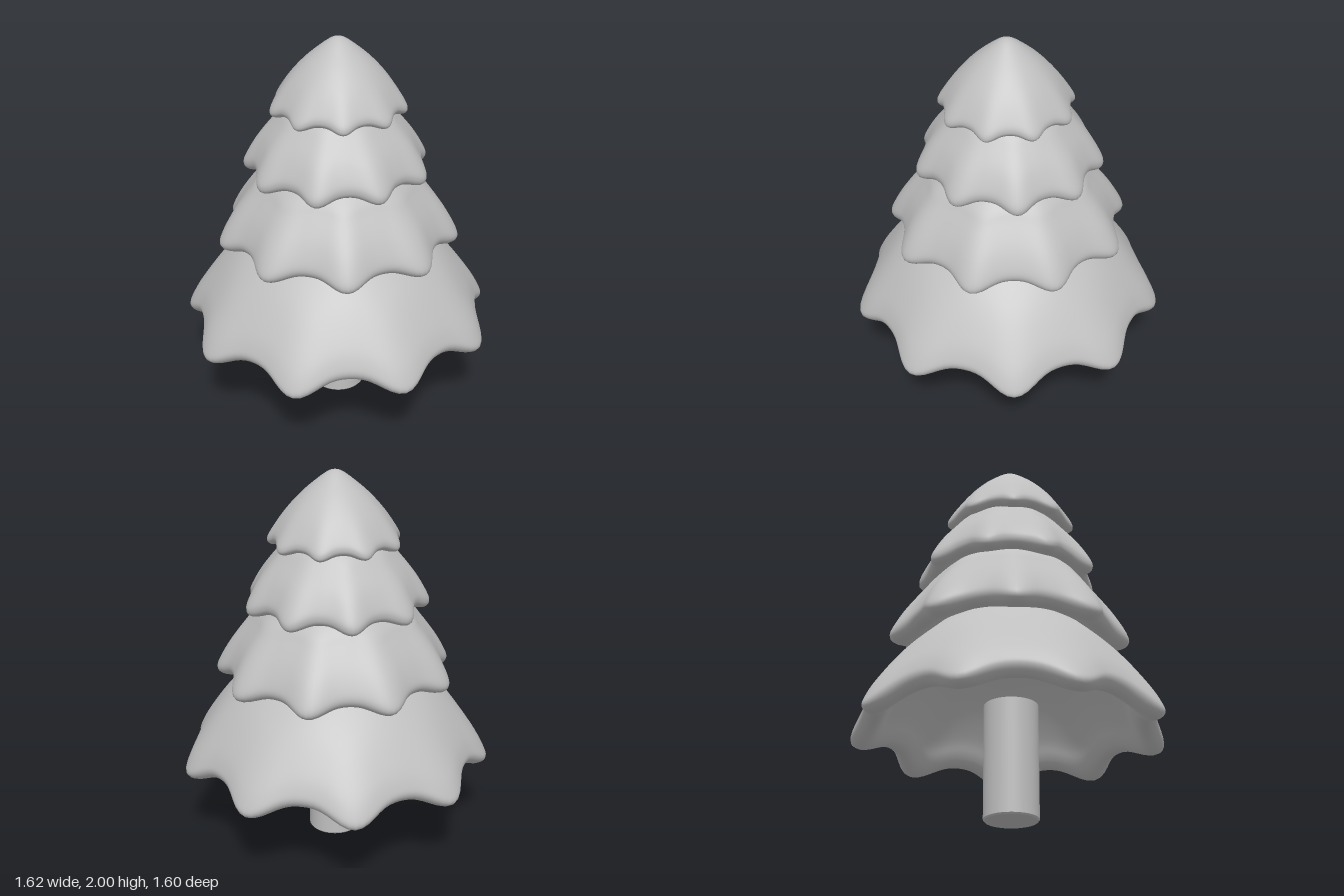
import * as THREE from 'three';
import { mergeVertices } from 'three/addons/utils/BufferGeometryUtils.js';

const LOBES = 9;

// Each tier: profile [radius, height] from the middle of the underside, round the rim, to the top.
// lobe = relative swell of the ridges, drop = how far their tips hang, turn = angle of the first ridge from +z
const TIERS = [
  // hollow skirt, open underneath
  { name: 'bottomBranches', x: 0, z: 0.018, lobe: 0.052, drop: 0.045, turn: Math.PI,
    profile: [[0, 1.1], [0.15, 1.06], [0.34, 0.91], [0.48, 0.755], [0.59, 0.6], [0.635, 0.515], [0.67, 0.468], [0.71, 0.447],
      [0.748, 0.455], [0.773, 0.485], [0.765, 0.53], [0.712, 0.63], [0.588, 0.8], [0.445, 0.945], [0.22, 1.14], [0, 1.2]] },
  { name: 'lowerBranches', x: 0, z: 0.014, lobe: 0.062, drop: 0.026, turn: 0,
    profile: [[0, 1.0], [0.3, 0.995], [0.42, 0.97], [0.475, 0.938], [0.52, 0.922], [0.562, 0.929], [0.586, 0.96],
      [0.575, 1.01], [0.525, 1.105], [0.448, 1.215], [0.38, 1.3], [0.2, 1.45], [0, 1.5]] },
  { name: 'upperBranches', x: -0.005, z: 0.01, lobe: 0.058, drop: 0.022, turn: Math.PI + 0.05,
    profile: [[0, 1.36], [0.22, 1.358], [0.32, 1.338], [0.365, 1.314], [0.4, 1.303], [0.434, 1.31], [0.45, 1.336],
      [0.442, 1.38], [0.39, 1.475], [0.32, 1.567], [0.252, 1.645], [0.12, 1.75], [0, 1.78]] },
  { name: 'topBranches', x: 0, z: 0.02, lobe: 0.048, drop: 0.016, turn: 0,
    profile: [[0, 1.68], [0.16, 1.67], [0.23, 1.652], [0.265, 1.632], [0.292, 1.625], [0.318, 1.633], [0.329, 1.655],
      [0.315, 1.695], [0.252, 1.79], [0.174, 1.878], [0.09, 1.951], [0.035, 1.99], [0, 2]] },
];

// A lathed skirt whose rim is pushed out and down into soft, slightly pointed lobes
function tierGeometry({ profile, lobe, drop, turn }) {
  const curve = new THREE.SplineCurve(profile.map(([r, y]) => new THREE.Vector2(r, y)));
  const points = curve.getPoints(64);
  points.forEach((p) => { p.x = Math.max(p.x, 0); });
  points[0].x = points[points.length - 1].x = 0;
  const rim = Math.max(...points.map((p) => p.x));

  const lathe = new THREE.LatheGeometry(points, LOBES * 16);
  lathe.deleteAttribute('uv');
  lathe.deleteAttribute('normal');
  const geometry = mergeVertices(lathe, 1e-5);
  const pos = geometry.attributes.position;
  for (let i = 0; i < pos.count; i++) {
    const x = pos.getX(i), y = pos.getY(i), z = pos.getZ(i);
    const t = Math.hypot(x, z) / rim;
    const a = LOBES * (Math.atan2(x, z) - turn);
    const wave = Math.cos(a) + 0.15 * Math.cos(2 * a);
    const swell = 1 + lobe * wave * t ** 1.8;
    pos.setXYZ(i, x * swell, y - drop * wave * t ** 3, z * swell);
  }
  geometry.computeVertexNormals();
  return geometry;
}

export function createModel() {
  const tree = new THREE.Group();
  tree.name = 'tree';
  const grey = new THREE.MeshStandardMaterial({ color: 0xc0c0c0 });
  grey.name = 'plain grey';

  // Trunk with a slightly softened foot, ending inside the hollow bottom skirt
  const foot = new THREE.Mesh(new THREE.CylinderGeometry(0.14, 0.133, 0.008, 48), grey);
  foot.name = 'trunkFoot';
  foot.position.set(0, 0.004, 0.025);
  const trunk = new THREE.Mesh(new THREE.CylinderGeometry(0.14, 0.14, 0.592, 48), grey);
  trunk.name = 'trunk';
  trunk.position.set(0, 0.304, 0.025);
  tree.add(foot, trunk);

  // Four stacked skirts of branches
  for (const tier of TIERS) {
    const mesh = new THREE.Mesh(tierGeometry(tier), grey);
    mesh.name = tier.name;
    mesh.position.set(tier.x, 0, tier.z);
    tree.add(mesh);
  }
  return tree;
}
